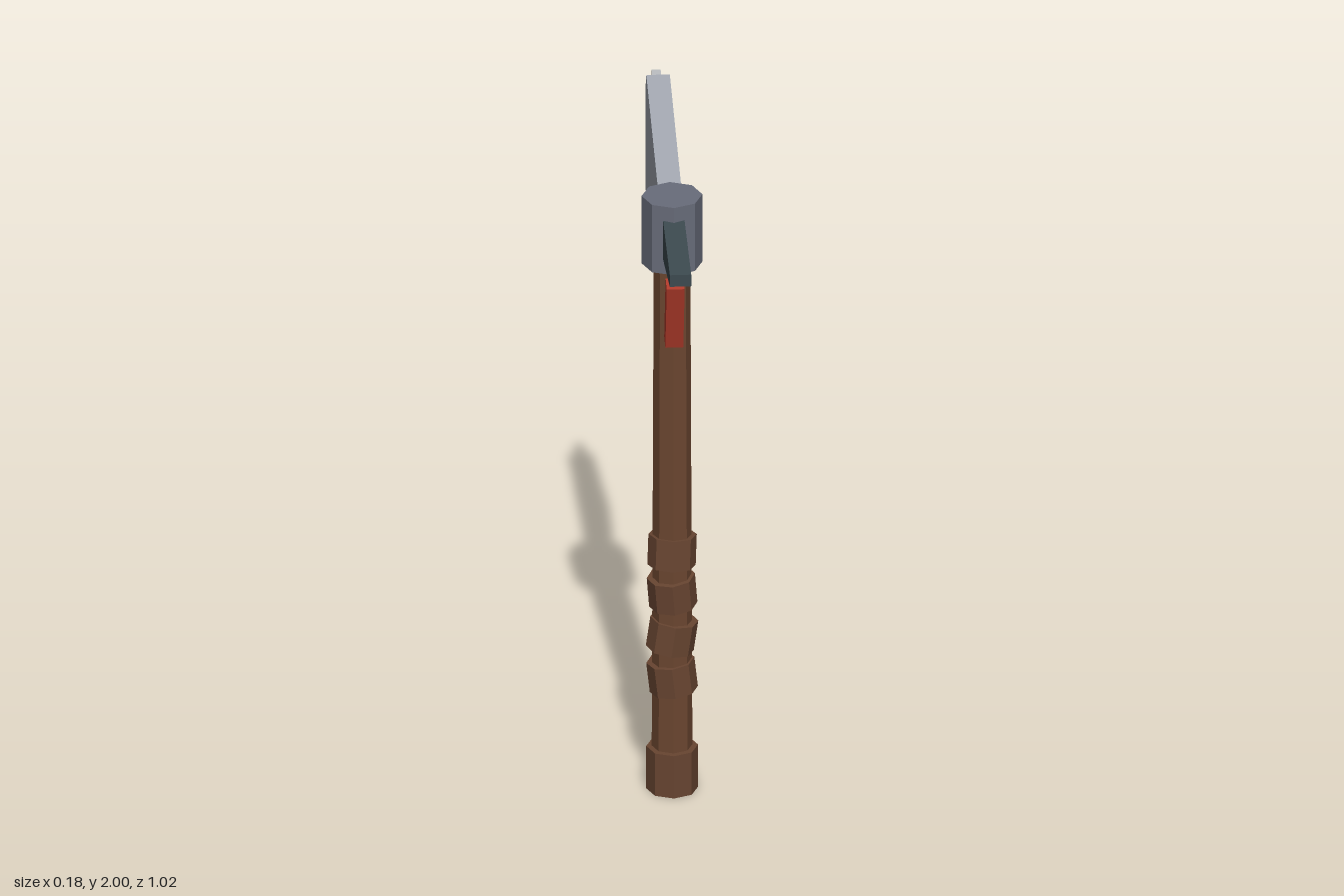
import * as THREE from 'three';

const mat = (name, color) => {
  const m = new THREE.MeshStandardMaterial({ color, flatShading: true });
  m.name = name;
  return m;
};

export function createModel() {
  const wood = mat('wood', 0x6b4630);
  const leather = mat('leather', 0x684531);
  const iron = mat('iron', 0x686c7a);
  const steel = mat('steel', 0xa0a5ae);
  const brightEdge = mat('brightEdge', 0xc4c7ca);
  const darkIron = mat('darkIron', 0x3c494f);
  const red = mat('redCloth', 0xb03a2a);

  const axe = new THREE.Group();
  axe.name = 'axe';
  const axisZ = 0.157; // the shaft stands in front of the centre

  const add = (name, geometry, material, x = 0, y = 0, z = 0) => {
    const mesh = new THREE.Mesh(geometry, material);
    mesh.name = name;
    mesh.position.set(x, y, z);
    axe.add(mesh);
    return mesh;
  };

  // Eight-sided upright drum between two heights
  const drum = (name, rTop, rBottom, y0, y1, material, z = axisZ) =>
    add(name, new THREE.CylinderGeometry(rTop, rBottom, y1 - y0, 8), material, 0, (y0 + y1) / 2, z);

  // Side outline in (z, y), extruded evenly across x
  const plate = (name, points, width, material) => {
    const shape = new THREE.Shape(points.map(([z, y]) => new THREE.Vector2(z, y)));
    const g = new THREE.ExtrudeGeometry(shape, { depth: width, bevelEnabled: false });
    g.translate(0, 0, -width / 2);
    g.rotateY(-Math.PI / 2);
    return add(name, g, material);
  };

  // Shaft and pommel
  drum('handle', 0.053, 0.059, 0.1, 1.7, wood);
  drum('pommel', 0.075, 0.075, 0, 0.135, leather, 0.16);

  // Grip wraps, each tilted a little: height, tilt about x, tilt about z
  [[0.76, -0.09, -0.04], [0.63, 0.07, 0.08], [0.492, 0, -0.14], [0.36, 0, 0.11]]
    .forEach(([y, tiltX, tiltZ], i) => {
      const wrap = drum(`gripWrap${i + 1}`, 0.07, 0.07, y - 0.047, y + 0.047, leather);
      wrap.rotation.set(tiltX, 0, tiltZ);
    });

  // Head: socket, blade and back spike
  drum('headSocket', 0.088, 0.088, 1.675, 1.89, iron, 0.155);
  plate('blade', [[0.07, 1.862], [0.07, 1.706], [-0.442, 1.517], [-0.464, 1.936], [-0.424, 2]], 0.068, steel);
  plate('spike', [[0.22, 1.846], [0.22, 1.719], [0.51, 1.766], [0.51, 1.803]], 0.062, darkIron);

  // Bright strip along the cutting edge
  const edge = add('cuttingEdge', new THREE.BoxGeometry(0.026, 0.38, 0.023), brightEdge, 0, 1.79, -0.47);
  edge.rotation.x = -0.14;

  // Red tag tied under the spike
  const tag = add('tag', new THREE.BoxGeometry(0.052, 0.22, 0.05), red, 0, 1.562, 0.257);
  tag.rotation.x = 0.262;

  return axe;
}
